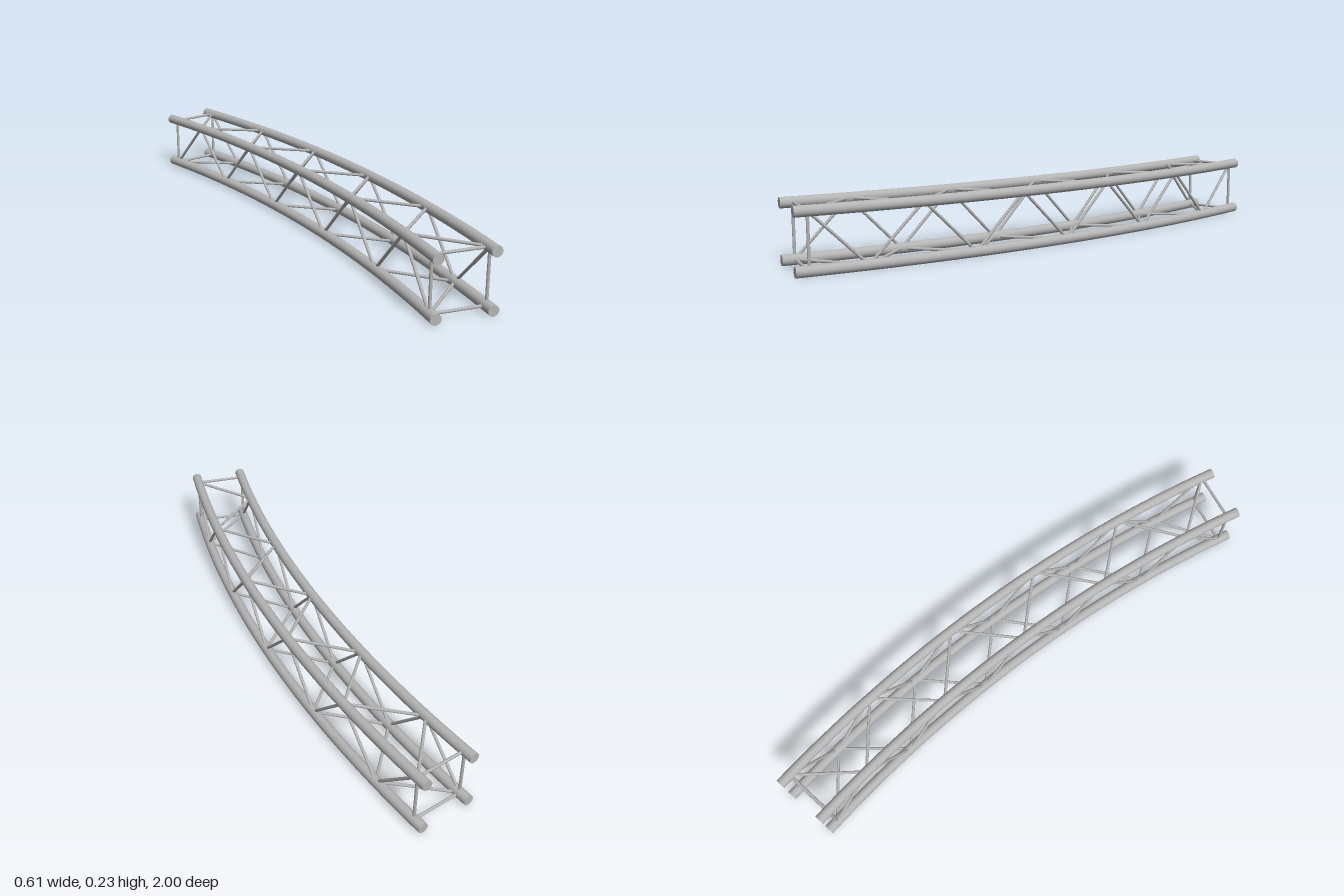
import * as THREE from 'three';

const SWEEP = THREE.MathUtils.degToRad(22.5);
const INSET = THREE.MathUtils.degToRad(0.5); // end frames sit just inside the chord ends
const BAYS = 10;
const CENTRE_X = -4.9215, CENTRE_Z = 1;
const RADII = { inner: 5.015, outer: 5.208 };
const LEVELS = { bottom: 0.0193, top: 0.2117 };
const CHORD_R = 0.0188, BRACE_R = 0.0054;

// Point on a chord at a given angle along the bend
function chordPoint(side, level, angle) {
  const r = RADII[side];
  return new THREE.Vector3(CENTRE_X + r * Math.cos(angle), LEVELS[level], CENTRE_Z - r * Math.sin(angle));
}

class ChordCurve extends THREE.Curve {
  constructor(side, level) {
    super();
    this.side = side;
    this.level = level;
  }
  getPoint(t, target = new THREE.Vector3()) {
    return target.copy(chordPoint(this.side, this.level, t * SWEEP));
  }
}

export function createModel() {
  const model = new THREE.Group();
  model.name = 'curvedBoxTruss';
  const metal = new THREE.MeshStandardMaterial({ color: 0xb4b4b4 });
  metal.name = 'aluminiumGrey';

  const add = (parent, geometry, name) => {
    const mesh = new THREE.Mesh(geometry, metal);
    mesh.name = name;
    parent.add(mesh);
    return mesh;
  };

  // Four bent main tubes with flat end caps
  const addChord = (side, level) => {
    const chord = new THREE.Group();
    chord.name = `${level}${side}Chord`;
    add(chord, new THREE.TubeGeometry(new ChordCurve(side, level), 48, CHORD_R, 24), 'chordTube');
    for (const angle of [0, SWEEP]) {
      const cap = add(chord, new THREE.CircleGeometry(CHORD_R, 24), 'chordEndCap');
      cap.position.copy(chordPoint(side, level, angle));
      cap.rotation.y = angle === 0 ? 0 : Math.PI + angle;
    }
    model.add(chord);
  };
  for (const side of ['inner', 'outer']) for (const level of ['bottom', 'top']) addChord(side, level);

  // Straight thin rod between two chord centres
  const up = new THREE.Vector3(0, 1, 0);
  const addRod = (parent, a, b, name) => {
    const span = b.clone().sub(a);
    const rod = add(parent, new THREE.CylinderGeometry(BRACE_R, BRACE_R, span.length(), 12), name);
    rod.position.copy(a).lerp(b, 0.5);
    rod.quaternion.setFromUnitVectors(up, span.normalize());
  };

  // Each face: zigzag alternating between two chords, closed by a strut at both ends
  const faces = [
    ['outerFace', ['outer', 'top'], ['outer', 'bottom']],
    ['innerFace', ['inner', 'bottom'], ['inner', 'top']],
    ['topFace', ['outer', 'top'], ['inner', 'top']],
    ['bottomFace', ['inner', 'bottom'], ['outer', 'bottom']],
  ];
  const nodeAngle = (k) => INSET + (SWEEP - 2 * INSET) * k / BAYS;
  for (const [name, even, odd] of faces) {
    const face = new THREE.Group();
    face.name = name;
    const node = (k) => chordPoint(...(k % 2 ? odd : even), nodeAngle(k));
    for (let k = 0; k < BAYS; k++) addRod(face, node(k), node(k + 1), 'diagonalBrace');
    for (const k of [0, BAYS]) {
      addRod(face, chordPoint(...even, nodeAngle(k)), chordPoint(...odd, nodeAngle(k)), 'endStrut');
    }
    model.add(face);
  }
  return model;
}
